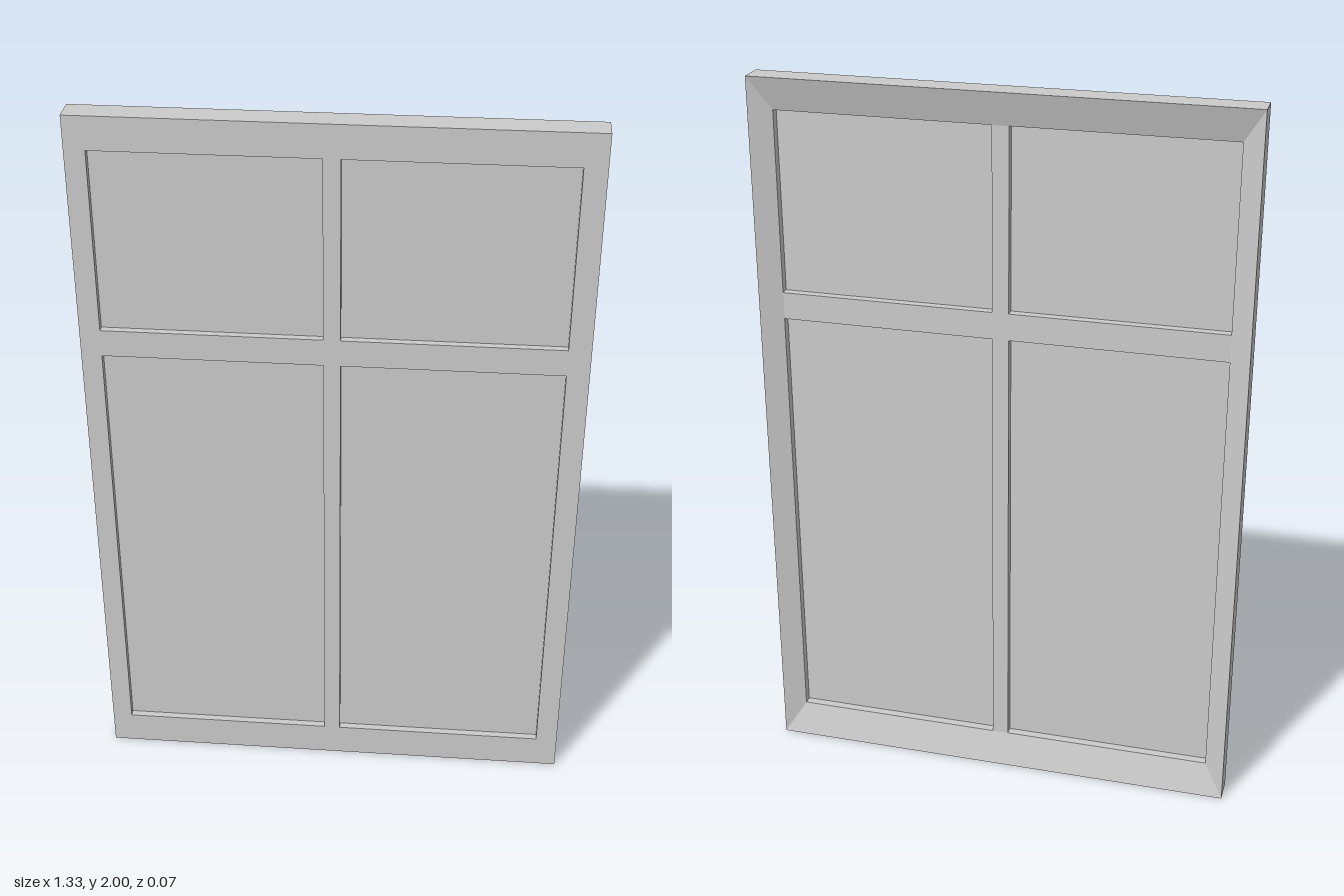
import * as THREE from 'three';

const W = 0.665, H = 2;              // half width, height
const FRONT = 0.037, BACK = -0.037;  // outer faces
const LATTICE_BACK = -0.011;         // back of the bars between the panes
const PANE_Z = 0.015, PANE_T = 0.004;
const COLS = [[-0.61, -0.025], [0.02, 0.605]];
const ROWS = [[0.095, 1.335], [1.41, 1.91]];

const corners = (x0, x1, y0, y1) => [[x0, y0], [x1, y0], [x1, y1], [x0, y1]];
const toPath = (pts, Type) => new Type(pts.map(([x, y]) => new THREE.Vector2(x, y)));

// Ring around the back: outer side walls, then a mitred slope down to the openings
function rimGeometry() {
  const outer = corners(-W, W, 0, H);
  const inner = corners(COLS[0][0], COLS[1][1], ROWS[0][0], ROWS[1][1]);
  const loops = [[inner, LATTICE_BACK], [outer, BACK], [outer, LATTICE_BACK]];
  const pos = [];
  for (let k = 0; k < 2; k++) {
    for (let i = 0; i < 4; i++) {
      const j = (i + 1) % 4;
      const [p, pz] = loops[k], [q, qz] = loops[k + 1];
      const a = [...p[i], pz], b = [...p[j], pz], c = [...q[j], qz], d = [...q[i], qz];
      pos.push(...a, ...b, ...c, ...a, ...c, ...d);
    }
  }
  const g = new THREE.BufferGeometry();
  g.setAttribute('position', new THREE.Float32BufferAttribute(pos, 3));
  g.computeVertexNormals();
  return g;
}

export function createModel() {
  const group = new THREE.Group();
  group.name = 'panelledWindow';
  const material = new THREE.MeshStandardMaterial({ color: 0xcccccc });
  const add = (name, geometry) => {
    const mesh = new THREE.Mesh(geometry, material);
    mesh.name = name;
    group.add(mesh);
    return mesh;
  };

  // Frame with its cross bars, cut by four openings
  const shape = toPath(corners(-W, W, 0, H), THREE.Shape);
  for (const [x0, x1] of COLS) {
    for (const [y0, y1] of ROWS) {
      shape.holes.push(toPath(corners(x0, x1, y0, y1).reverse(), THREE.Path));
      // Thin pane set midway in the opening
      add('pane', new THREE.BoxGeometry(x1 - x0, y1 - y0, PANE_T))
        .position.set((x0 + x1) / 2, (y0 + y1) / 2, PANE_Z);
    }
  }
  add('frame', new THREE.ExtrudeGeometry(shape, { depth: FRONT - LATTICE_BACK, bevelEnabled: false }))
    .position.z = LATTICE_BACK;

  // The slope closes over the outer part of the frame's back
  add('backRim', rimGeometry());
  return group;
}
